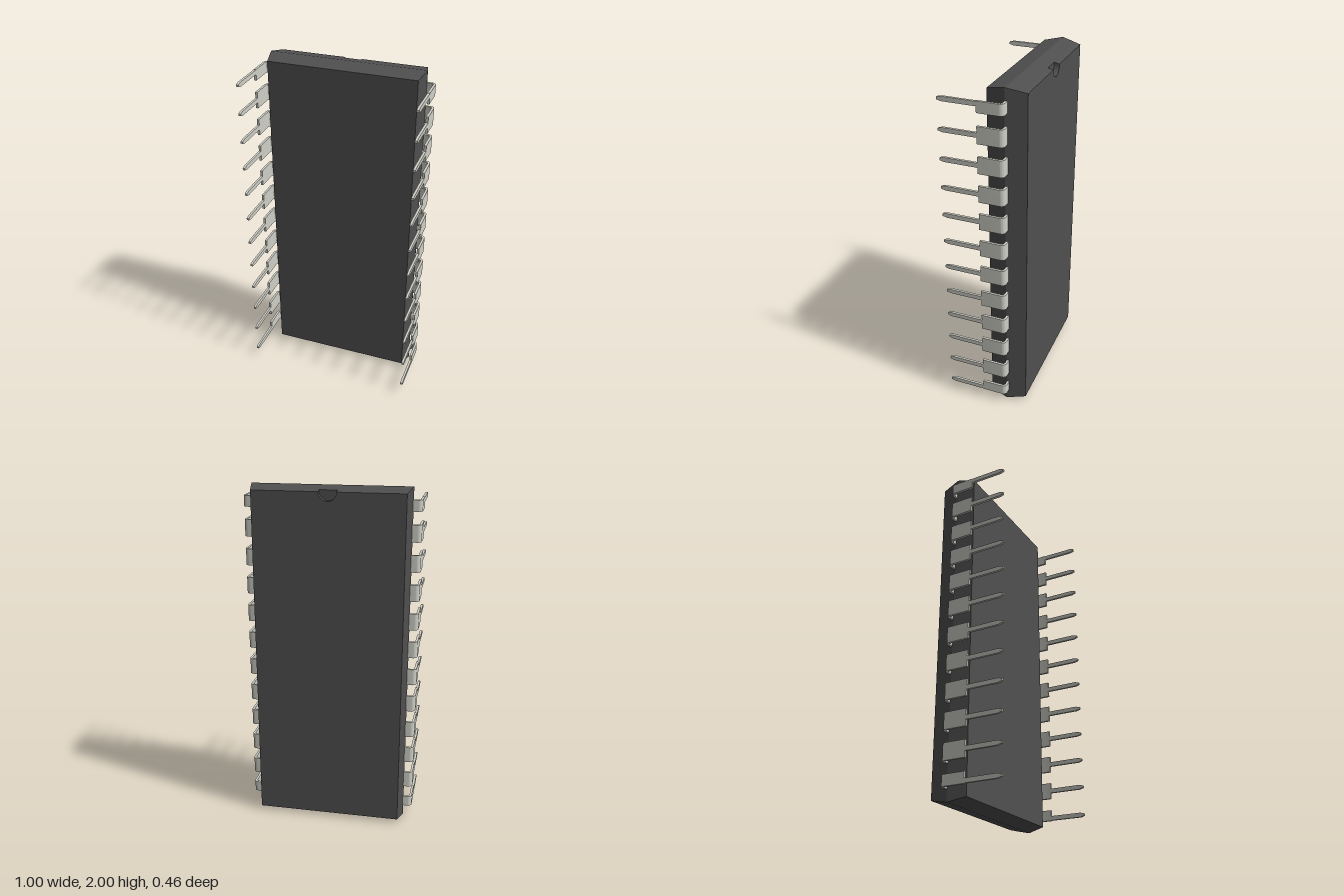
import * as THREE from 'three';
import { toCreasedNormals } from 'three/addons/utils/BufferGeometryUtils.js';

const bodyMat = new THREE.MeshStandardMaterial({ color: 0x505050 });
const leadMat = new THREE.MeshStandardMaterial({ color: 0xd0d0c8 });

// Body outline, counter-clockwise from the front, optionally with the half-round notch
function outline(halfWidth, inset, notched) {
  const top = 2 - inset;
  const pts = [[-halfWidth, inset], [halfWidth, inset], [halfWidth, top]];
  if (notched) {
    const r = 0.05, n = 16;
    pts.push([r, top]);
    for (let i = 0; i <= n; i++) {
      const a = -Math.PI * i / n;
      pts.push([r * Math.cos(a), 1.974 + r * Math.sin(a)]);
    }
    pts.push([-r, top]);
  }
  pts.push([-halfWidth, top]);
  return pts.map(([x, y]) => new THREE.Vector2(x, y));
}

// Capped loft through sections [z, halfWidth, inset], ordered back to front
function loft(sections, notched) {
  const rings = sections.map(([z, w, inset]) =>
    outline(w, inset, notched).map(p => new THREE.Vector3(p.x, p.y, z)));
  const n = rings[0].length, pos = [];
  const tri = (...v) => v.forEach(p => pos.push(p.x, p.y, p.z));
  for (let s = 0; s < rings.length - 1; s++) {
    for (let i = 0; i < n; i++) {
      const j = (i + 1) % n, b = rings[s], f = rings[s + 1];
      tri(b[i], b[j], f[j]);
      tri(b[i], f[j], f[i]);
    }
  }
  const back = rings[0], front = rings[rings.length - 1];
  for (const [a, b, c] of THREE.ShapeUtils.triangulateShape(back, [])) tri(back[c], back[b], back[a]);
  for (const [a, b, c] of THREE.ShapeUtils.triangulateShape(front, [])) tri(front[a], front[b], front[c]);
  const geo = new THREE.BufferGeometry();
  geo.setAttribute('position', new THREE.Float32BufferAttribute(pos, 3));
  return toCreasedNormals(geo, 0.35);
}

// Bent strip leaving the body and turning forward, spanning lo..hi in y
function elbowGeometry(lo, hi) {
  const zb = -0.131, t = 0.014, xo = 0.5, R = 0.025;
  const s = new THREE.Shape();
  s.moveTo(0.435, zb);
  s.lineTo(xo - R, zb);
  s.absarc(xo - R, zb + R, R, -Math.PI / 2, 0, false);
  s.lineTo(xo, 0.015);
  s.lineTo(xo - t, 0.015);
  s.lineTo(xo - t, zb + R);
  s.absarc(xo - R, zb + R, R - t, 0, -Math.PI / 2, true);
  s.lineTo(0.435, zb + t);
  const g = new THREE.ExtrudeGeometry(s, { depth: hi - lo, bevelEnabled: false, curveSegments: 6 });
  g.rotateX(Math.PI / 2).translate(0, hi, 0);
  return toCreasedNormals(g, 0.6);
}

// Narrow pin with a tapered tip
function pinGeometry() {
  const h = 0.013, tip = 0.006;
  const s = new THREE.Shape([[0.015, -h], [0.205, -h], [0.23, -tip], [0.23, tip], [0.205, h], [0.015, h]]
    .map(([z, y]) => new THREE.Vector2(z, y)));
  const g = new THREE.ExtrudeGeometry(s, { depth: 0.014, bevelEnabled: false });
  return g.rotateY(-Math.PI / 2).translate(0.5, 0, 0);
}

export function createModel() {
  const model = new THREE.Group();
  const add = (parent, name, geo, mat) => {
    const m = new THREE.Mesh(geo, mat);
    m.name = name;
    parent.add(m);
    return m;
  };

  // Moulded body: solid main block and the notched back layer
  const body = new THREE.Group();
  body.name = 'body';
  add(body, 'mainBlock', loft([[-0.2, 0.4316, 0.018], [-0.117, 0.45, 0], [-0.013, 0.428, 0.022]], false), bodyMat);
  add(body, 'notchedLayer', loft([[-0.23, 0.425, 0.025], [-0.2, 0.4316, 0.018]], true), bodyMat);
  model.add(body);

  // Twelve leads per side; the end leads have only a half-width shoulder
  const count = 12, pitch = 1 / 6;
  const full = elbowGeometry(-0.048, 0.048);
  const bottomEnd = elbowGeometry(-0.015, 0.048);
  const topEnd = elbowGeometry(-0.048, 0.015);
  const pin = pinGeometry();
  for (const side of ['left', 'right']) {
    const row = new THREE.Group();
    row.name = side + 'Leads';
    for (let i = 0; i < count; i++) {
      const lead = new THREE.Group();
      lead.name = 'lead' + (i + 1);
      add(lead, 'shoulder', i === 0 ? bottomEnd : i === count - 1 ? topEnd : full, leadMat);
      add(lead, 'pin', pin, leadMat);
      lead.position.y = 1 + (i - (count - 1) / 2) * pitch;
      row.add(lead);
    }
    // A half turn about the body centre gives the opposite row
    if (side === 'right') {
      row.rotation.z = Math.PI;
      row.position.y = 2;
    }
    model.add(row);
  }
  return model;
}
